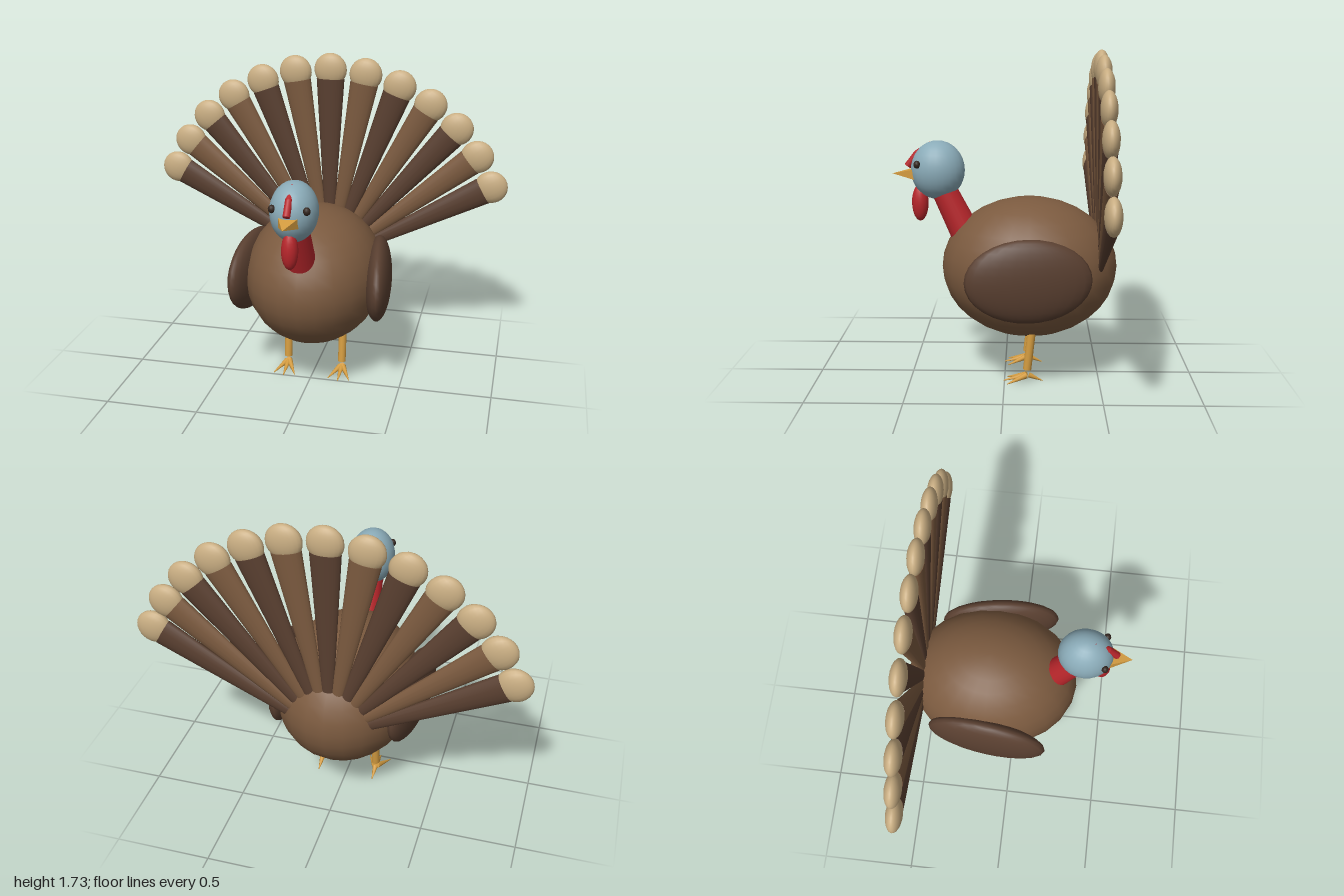
import * as THREE from 'three';

const mat = (name, color) => {
  const m = new THREE.MeshStandardMaterial({ color });
  m.name = name;
  return m;
};

export function createModel() {
  const brown = mat('featherBrown', 0x7b5a3f);
  const dark = mat('darkBrown', 0x593f30);
  const cream = mat('creamTip', 0xc8ad82);
  const blue = mat('paleBlueSkin', 0x8aabb8);
  const red = mat('redSkin', 0xb8262b);
  const gold = mat('goldenHorn', 0xd49c40);
  const black = mat('eyeDark', 0x33261f);

  const model = new THREE.Group();
  model.name = 'bird';

  const add = (parent, name, geometry, material) => {
    const mesh = new THREE.Mesh(geometry, material);
    mesh.name = name;
    parent.add(mesh);
    return mesh;
  };

  // Ellipsoid with centre and half sizes
  const ball = (parent, name, material, [x, y, z], [rx, ry, rz], w = 24, h = 16) => {
    const mesh = add(parent, name, new THREE.SphereGeometry(1, w, h), material);
    mesh.position.set(x, y, z);
    mesh.scale.set(rx, ry, rz);
    return mesh;
  };

  // Tapered rod from point a to point b
  const rod = (parent, name, material, a, b, ra, rb, sides = 12) => {
    const from = new THREE.Vector3(...a);
    const dir = new THREE.Vector3(...b).sub(from);
    const mesh = add(parent, name, new THREE.CylinderGeometry(rb, ra, dir.length(), sides), material);
    mesh.position.copy(from).addScaledVector(dir, 0.5);
    mesh.quaternion.setFromUnitVectors(new THREE.Vector3(0, 1, 0), dir.normalize());
    return mesh;
  };

  // Body and neck
  ball(model, 'body', brown, [0, 0.595, -0.13], [0.375, 0.375, 0.465]);
  rod(model, 'neck', red, [0, 0.71, 0.18], [0, 1.04, 0.34], 0.083, 0.066, 20);

  // Head with beak, wattle and snood
  const head = new THREE.Group();
  head.name = 'head';
  model.add(head);
  ball(head, 'skull', blue, [0, 1.112, 0.355], [0.122, 0.155, 0.143]);
  ball(head, 'wattle', red, [0, 0.937, 0.45], [0.043, 0.098, 0.044], 16, 12);

  const beakGeometry = new THREE.ConeGeometry(Math.SQRT2, 0.145, 4, 1, false, Math.PI / 4).toNonIndexed();
  beakGeometry.rotateX(Math.PI / 2);
  beakGeometry.scale(0.063, 0.033, 1);
  beakGeometry.computeVertexNormals();
  add(head, 'beak', beakGeometry, gold).position.set(0, 1.092, 0.5225);

  const snoodPoints = [[0, 1.245, 0.385], [0, 1.198, 0.462], [0, 1.132, 0.513]];
  for (let i = 0; i < 2; i++) {
    rod(head, 'snood', red, snoodPoints[i], snoodPoints[i + 1], 0.019, 0.019);
  }
  ball(head, 'snoodJoint', red, snoodPoints[1], [0.019, 0.019, 0.019], 12, 8);

  for (const side of [-1, 1]) {
    ball(head, 'eye', black, [side * 0.087, 1.15, 0.456], [0.019, 0.021, 0.018], 12, 8);

    // Wing lies along the flank, front end slightly out
    const wing = ball(model, 'wing', dark, [side * 0.35, 0.595, -0.125], [0.075, 0.216, 0.326]);
    wing.rotation.y = side * 0.12;

    // Leg with three front toes and one back toe
    const leg = new THREE.Group();
    leg.name = side > 0 ? 'leftLeg' : 'rightLeg';
    leg.position.set(side * 0.155, 0, -0.12);
    model.add(leg);
    rod(leg, 'shank', gold, [0, 0.068, 0], [0, 0.3, -0.026], 0.022, 0.022);
    for (const spread of [-1, 0, 1]) {
      rod(leg, 'frontToe', gold, [spread * 0.008, 0.037, 0.005],
        [spread * 0.06, 0.006, 0.125 - Math.abs(spread) * 0.02], 0.017, 0.002, 8);
    }
    rod(leg, 'backToe', gold, [0, 0.037, -0.01], [0, 0.006, -0.082], 0.015, 0.002, 8);
  }

  // Fanned tail: alternating flattened feathers with cream tips
  const tail = new THREE.Group();
  tail.name = 'tailFan';
  tail.position.set(0, 0.52, -0.497);
  model.add(tail);
  for (let i = 0; i < 13; i++) {
    const t = (i - 6) / 6;
    const reach = 1.127 - 0.084 * t * t;
    const feather = new THREE.Group();
    feather.name = 'tailFeather';
    feather.rotation.z = -t * 1.056;
    tail.add(feather);
    const vane = rod(feather, 'vane', i % 2 ? brown : dark, [0, 0.25, 0], [0, reach - 0.05, 0], 0.028, 0.078, 16);
    vane.scale.z = 0.48;
    ball(feather, 'featherTip', cream, [0, reach, 0], [0.091, 0.091, 0.042], 20, 14);
  }

  return model;
}
